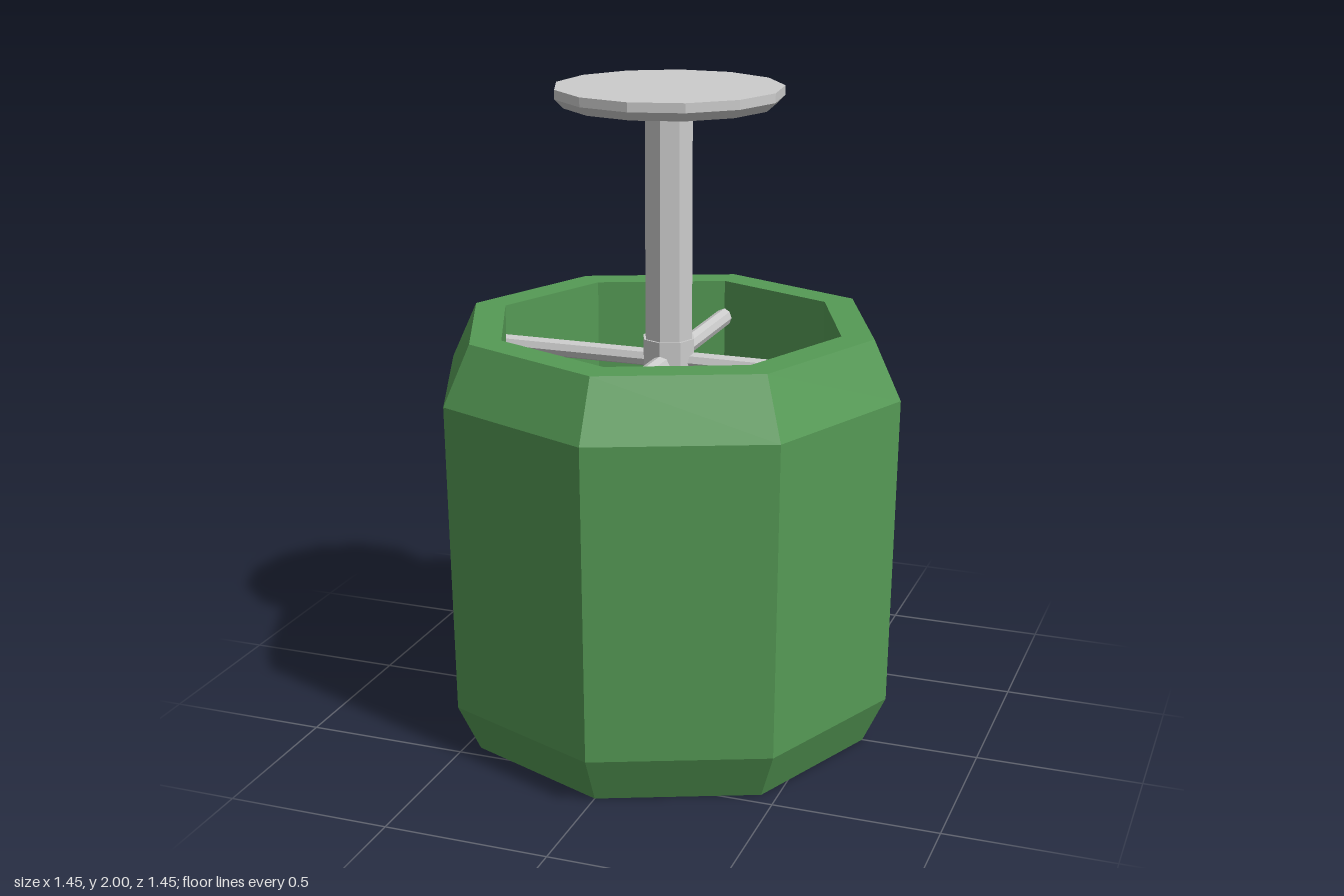
import * as THREE from 'three';

const grey = new THREE.MeshStandardMaterial({ color: 0xcccccc, flatShading: true });
const green = new THREE.MeshStandardMaterial({ color: 0x559a55, flatShading: true });

// Adds a faceted solid turned from [radius, height] pairs
function turned(parent, name, profile, sides, material) {
  const points = profile.map(([r, y]) => new THREE.Vector2(r, y));
  const mesh = new THREE.Mesh(new THREE.LatheGeometry(points, sides), material);
  mesh.name = name;
  parent.add(mesh);
  return mesh;
}

export function createModel() {
  const model = new THREE.Group();
  model.name = 'postInRing';

  // Hollow octagonal drum with bevelled rims, open at both ends
  turned(model, 'drum', [
    [0.54, 0], [0.64, 0], [0.71, 0.15], [0.725, 1.11],
    [0.64, 1.29], [0.54, 1.29], [0.54, 0],
  ], 8, green);

  // Central post with a hub where the spokes meet
  turned(model, 'post', [[0, 1.0], [0.075, 1.0], [0.075, 1.95], [0, 1.95]], 8, grey);
  turned(model, 'hub', [[0, 1.1], [0.082, 1.1], [0.082, 1.24], [0, 1.24]], 8, grey);

  // Disc on top with a bevelled underside
  turned(model, 'topDisc', [[0, 1.945], [0.315, 1.945], [0.342, 1.972], [0.342, 2], [0, 2]], 13, grey);

  // Four spokes from the hub to the drum wall
  const spokes = new THREE.Group();
  spokes.name = 'spokes';
  for (let i = 0; i < 4; i++) {
    const geometry = new THREE.CylinderGeometry(0.028, 0.028, 0.54, 8);
    geometry.rotateX(Math.PI / 2).translate(0, 1.17, 0.27);
    const spoke = new THREE.Mesh(geometry, grey);
    spoke.name = 'spoke';
    spoke.rotation.y = i * Math.PI / 2;
    spokes.add(spoke);
  }
  model.add(spokes);

  return model;
}
